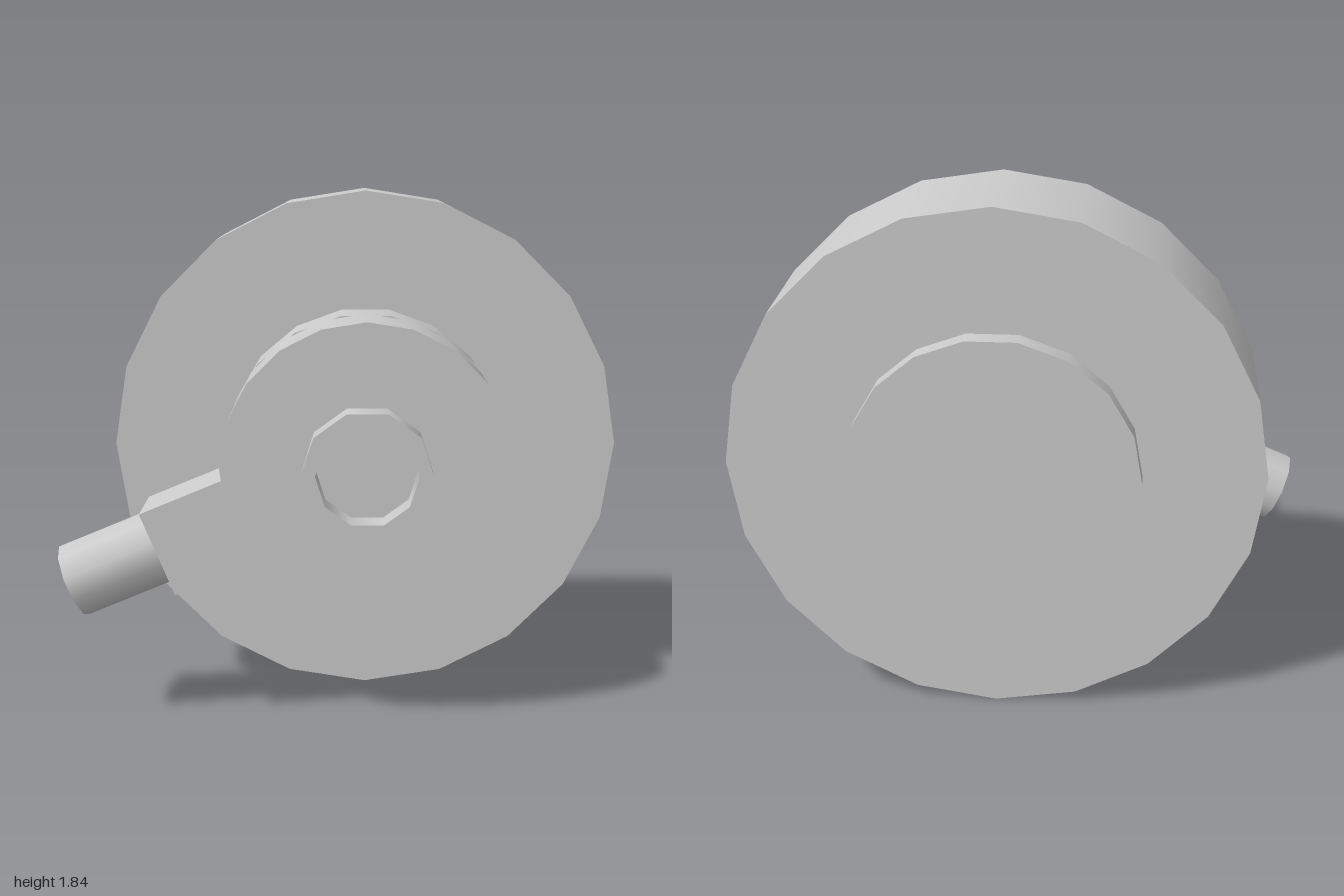
import * as THREE from 'three';

const CX = 0.077, CY = 0.92; // common axis of the round parts

export function createModel() {
  const model = new THREE.Group();
  const grey = new THREE.MeshStandardMaterial({ color: 0xcccccc });
  const greyInside = new THREE.MeshStandardMaterial({ color: 0xcccccc, side: THREE.BackSide });

  const add = (parent, name, geometry, x, y, z, material = grey) => {
    const mesh = new THREE.Mesh(geometry, material);
    mesh.name = name;
    mesh.position.set(x, y, z);
    parent.add(mesh);
    return mesh;
  };

  // Cylinder along z between two depths, with a corner on the x axis
  const drum = (parent, name, r, z0, z1, sides, open = false, material = grey) => {
    const g = new THREE.CylinderGeometry(r, r, z1 - z0, sides, 1, open);
    g.rotateY(Math.PI / 2).rotateX(Math.PI / 2);
    return add(parent, name, g, CX, CY, (z0 + z1) / 2, material);
  };

  // Wheel, the core running through it, and the front collar
  drum(model, 'wheel', 0.92, -0.495, -0.05, 20);
  drum(model, 'core', 0.5, -0.565, 0.172, 18);
  drum(model, 'collar', 0.5, 0.172, 0.45, 20);

  // Hollow ring on the front of the collar
  const ring = new THREE.Group();
  ring.name = 'frontRing';
  drum(ring, 'ringOuterWall', 0.221, 0.45, 0.565, 10, true);
  drum(ring, 'ringInnerWall', 0.174, 0.45, 0.565, 10, true, greyInside);
  add(ring, 'ringRim', new THREE.RingGeometry(0.174, 0.221, 10), CX, CY, 0.565);
  model.add(ring);

  // Slanted side arm: a block on the collar with a round peg at its end
  const arm = new THREE.Group();
  arm.name = 'sideArm';
  arm.position.set(CX, CY, 0.311);
  arm.rotation.z = THREE.MathUtils.degToRad(22.5);
  add(arm, 'armBlock', new THREE.BoxGeometry(0.475, 0.307, 0.278), -0.5375, 0, 0);
  const peg = new THREE.CylinderGeometry(0.1325, 0.1325, 0.41, 10);
  peg.rotateY(Math.PI / 2).rotateZ(Math.PI / 2);
  add(arm, 'armPeg', peg, -0.905, 0, 0);
  model.add(arm);

  return model;
}
